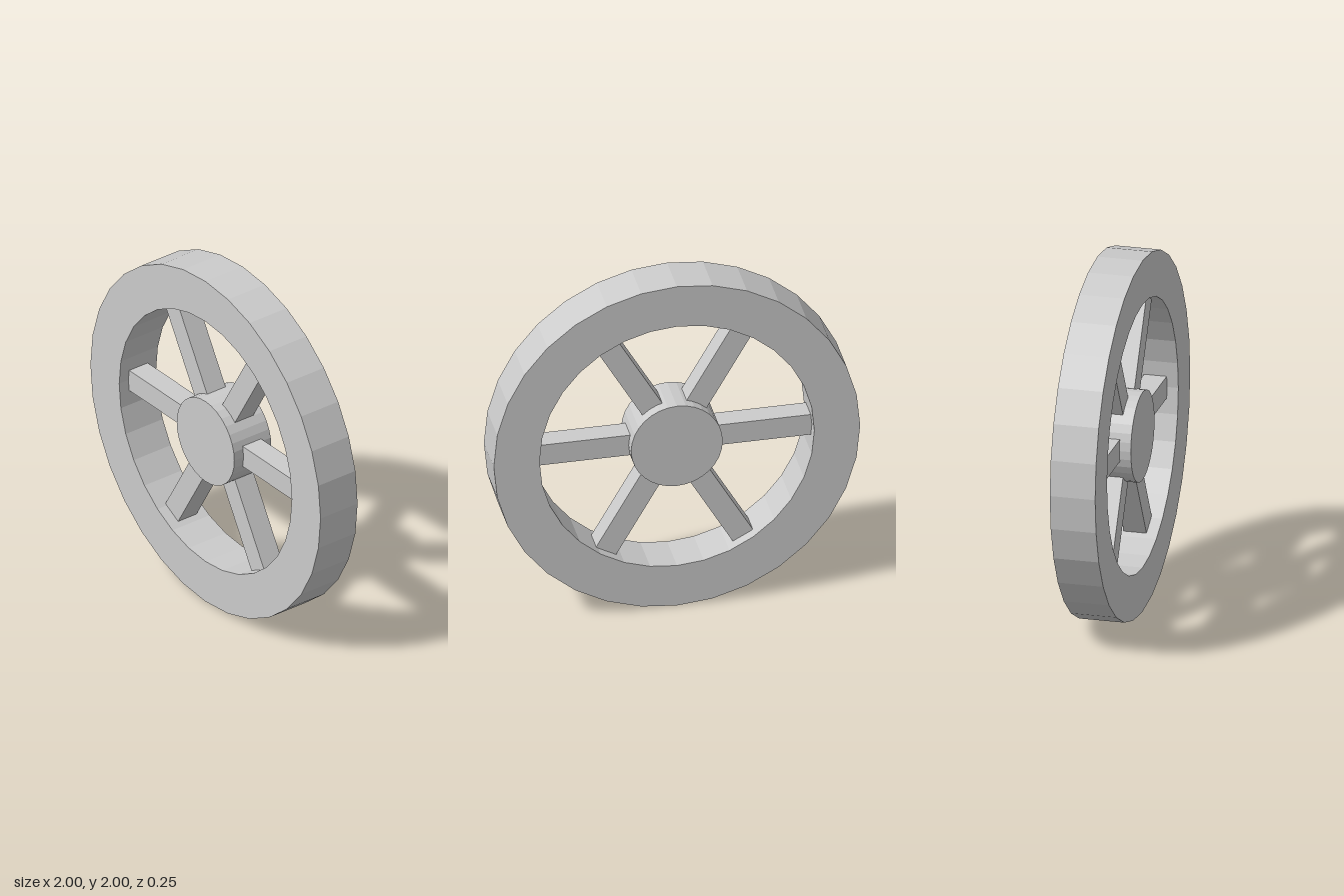
import * as THREE from 'three';

const SIDES = 32;
const DEPTH = 0.25;

// Points of a regular polygon with a corner on the x axis
function ring(radius) {
  return Array.from({ length: SIDES }, (_, i) => {
    const a = (i / SIDES) * Math.PI * 2;
    return new THREE.Vector2(radius * Math.cos(a), radius * Math.sin(a));
  });
}

// Flat disc or ring, centred in depth
function plate(outer, inner) {
  const shape = new THREE.Shape(ring(outer));
  if (inner) shape.holes.push(new THREE.Path(ring(inner)));
  const geometry = new THREE.ExtrudeGeometry(shape, { depth: DEPTH, bevelEnabled: false });
  return geometry.translate(0, 0, -DEPTH / 2);
}

export function createModel() {
  const material = new THREE.MeshStandardMaterial({ color: 0xcccccc, flatShading: true });
  const wheel = new THREE.Group();
  wheel.name = 'wheel';

  const add = (name, geometry) => {
    const mesh = new THREE.Mesh(geometry, material);
    mesh.name = name;
    wheel.add(mesh);
    return mesh;
  };

  add('rim', plate(1, 0.75));
  add('hub', plate(0.25));

  // Six square spokes, their ends sunk into hub and rim
  const start = 0.2, end = 0.76;
  const spoke = new THREE.BoxGeometry(end - start, 0.125, 0.125).translate((start + end) / 2, 0, 0);
  for (let i = 0; i < 6; i++) {
    add(`spoke${i + 1}`, spoke).rotation.z = (i * Math.PI) / 3;
  }

  wheel.position.y = 1;
  const model = new THREE.Group();
  model.name = 'spokedWheel';
  model.add(wheel);
  return model;
}
